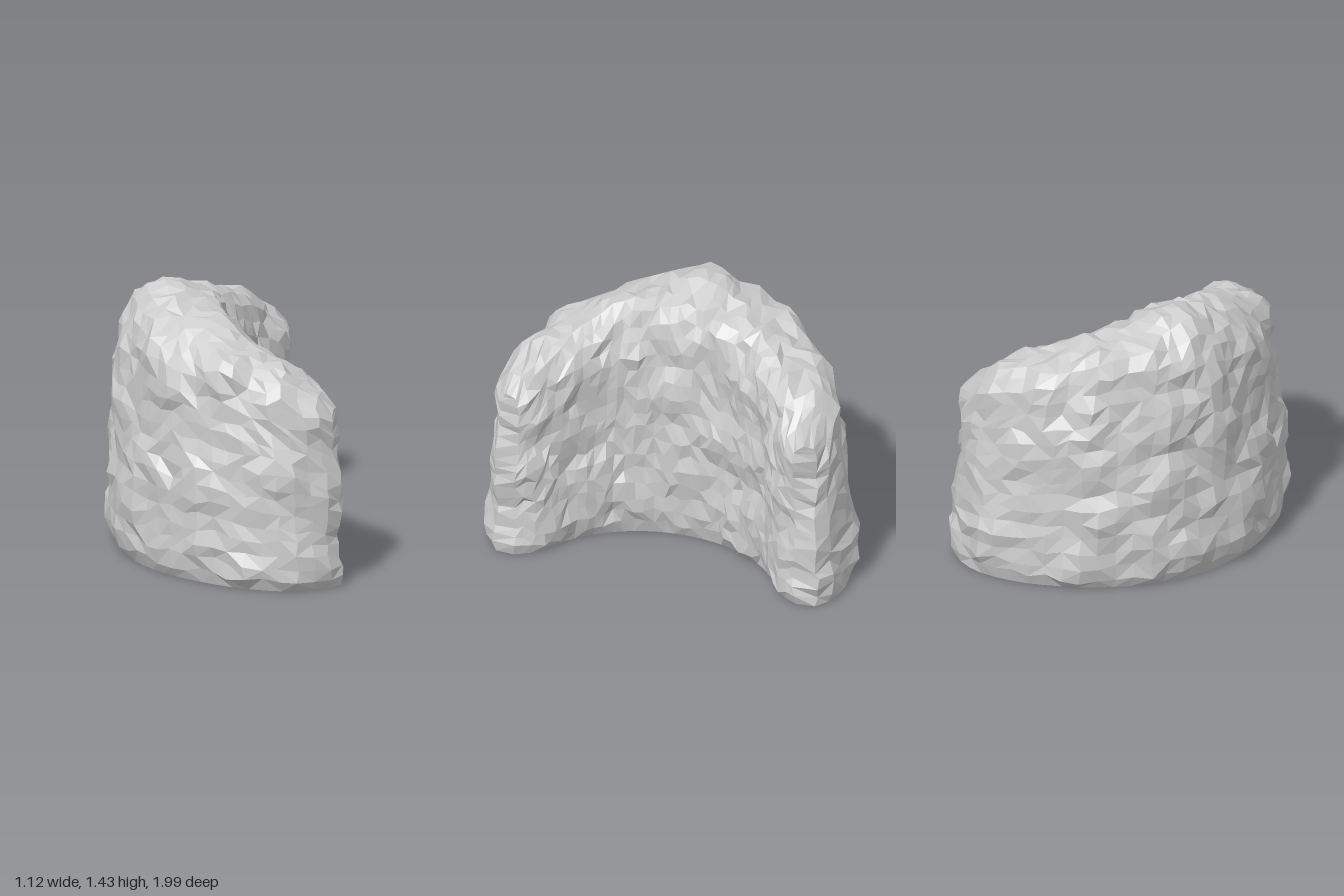
import * as THREE from 'three';

// Small seeded random generator
function seeded(seed) {
  return () => {
    seed = (seed * 1664525 + 1013904223) >>> 0;
    return seed / 4294967296;
  };
}

// Base edge curve, mirrored from its z >= 0 half
function mirroredCurve(half) {
  const points = [...half.slice(1).reverse().map(([x, z]) => [x, -z]), ...half];
  return new THREE.CatmullRomCurve3(points.map(([x, z]) => new THREE.Vector3(x, 0, z)));
}

// Convex and hollow edges of the crescent, from the middle to the tip
const OUTER = mirroredCurve([
  [-0.55, 0], [-0.47, 0.37], [-0.335, 0.6], [-0.185, 0.76], [0, 0.9], [0.23, 0.985], [0.43, 0.955], [0.535, 0.88],
]);
const INNER = mirroredCurve([[0.13, 0], [0.155, 0.2], [0.245, 0.4], [0.4, 0.57], [0.5, 0.65], [0.545, 0.76]]);

// Wall cross-section: x from outer (-1) to inner (1), y as a fraction of height
const PROFILE = [
  [-0.82, 0], [-0.97, 0.04], [-1, 0.14], [-0.97, 0.3], [-0.89, 0.56], [-0.8, 0.8], [-0.69, 0.92], [-0.4, 0.985],
  [0, 1], [0.4, 0.985], [0.69, 0.94], [0.87, 0.82], [0.95, 0.58], [0.98, 0.3], [1, 0.14], [0.97, 0.04], [0.84, 0],
];

const ROWS = 36, SIDE = 38, FLOOR = 3, LOOP = SIDE + FLOOR;

// Evenly spaced section points, closed along the floor
function sectionPoints() {
  const curve = new THREE.SplineCurve(PROFILE.map(([x, y]) => new THREE.Vector2(x * 0.3, y * 1.3)));
  const points = curve.getSpacedPoints(SIDE - 1).map((p) => new THREE.Vector2(p.x / 0.3, Math.max(0, p.y / 1.3)));
  for (let k = 1; k <= FLOOR; k++) points.push(new THREE.Vector2(0.84 - (1.66 * k) / (FLOOR + 1), 0));
  return points;
}

function crescentGeometry() {
  const rand = seeded(17);
  const section = sectionPoints();
  const positions = [], index = [];

  // Sections span the two edge curves; height falls towards the tips, which lean inwards
  for (let i = 0; i <= ROWS; i++) {
    const u = (i / ROWS) * 2 - 1;
    const height = 1.395 - 0.33 * Math.abs(u) ** 1.4 - 0.14 * u ** 10;
    for (const p of section) {
      const y = p.y * height;
      const lean = (y / 1.1) ** 3;
      const t = 0.5 + 0.5 * u * (1 - 0.09 * lean);
      const f = (p.x + 1) / 2;
      const v = OUTER.getPointAt(t).lerp(INNER.getPointAt(t), f);
      positions.push(v.x, y, v.z * (1 - 0.08 * lean * (1 - f)));
    }
  }
  for (let i = 0; i < ROWS; i++) {
    for (let j = 0; j < LOOP; j++) {
      const k = (j + 1) % LOOP;
      const a = i * LOOP + j, b = a + LOOP, c = i * LOOP + k, d = c + LOOP;
      if (rand() < 0.5) index.push(a, b, c, b, d, c);
      else index.push(a, b, d, a, d, c);
    }
  }

  // Closing strips at the two tips
  const last = ROWS * LOOP;
  for (let j = 0; j < SIDE / 2 - 1; j++) {
    const a = j, b = j + 1, c = SIDE - 2 - j, d = SIDE - 1 - j;
    index.push(a, b, c, a, c, d);
    index.push(last + a, last + c, last + b, last + a, last + d, last + c);
  }

  const geometry = new THREE.BufferGeometry();
  geometry.setAttribute('position', new THREE.Float32BufferAttribute(positions, 3));
  geometry.setIndex(index);
  geometry.computeVertexNormals();
  return geometry;
}

// Push the skin out into rounded clumps and jitter it, keeping the base flat
function roughen(geometry) {
  const rand = seeded(5);
  const pos = geometry.attributes.position, nor = geometry.attributes.normal;
  const p = new THREE.Vector3(), n = new THREE.Vector3();
  const clumps = [];
  for (let k = 0; k < 150; k++) {
    const at = new THREE.Vector3().fromBufferAttribute(pos, Math.floor(rand() * pos.count));
    clumps.push({ at, r: 0.1 + 0.08 * rand() });
  }
  for (let i = 0; i < pos.count; i++) {
    p.fromBufferAttribute(pos, i);
    if (p.y < 0.004) continue;
    n.fromBufferAttribute(nor, i);
    let bump = 0;
    for (const { at, r } of clumps) bump = Math.max(bump, (1 - p.distanceToSquared(at) / (r * r)) * r * 0.24);
    p.addScaledVector(n, bump - 0.02);
    p.x += (rand() - 0.5) * 0.022;
    p.y = Math.max(0.012, p.y + (rand() - 0.5) * 0.036);
    p.z += (rand() - 0.5) * 0.022;
    pos.setXYZ(i, p.x, p.y, p.z);
  }
  geometry.computeVertexNormals();
}

export function createModel() {
  const geometry = crescentGeometry();
  roughen(geometry);

  const material = new THREE.MeshStandardMaterial({ color: 0xcccccc, flatShading: true });
  const wall = new THREE.Mesh(geometry, material);
  wall.name = 'crescentRock';

  const group = new THREE.Group();
  group.name = 'curvedRockWall';
  group.add(wall);
  return group;
}
